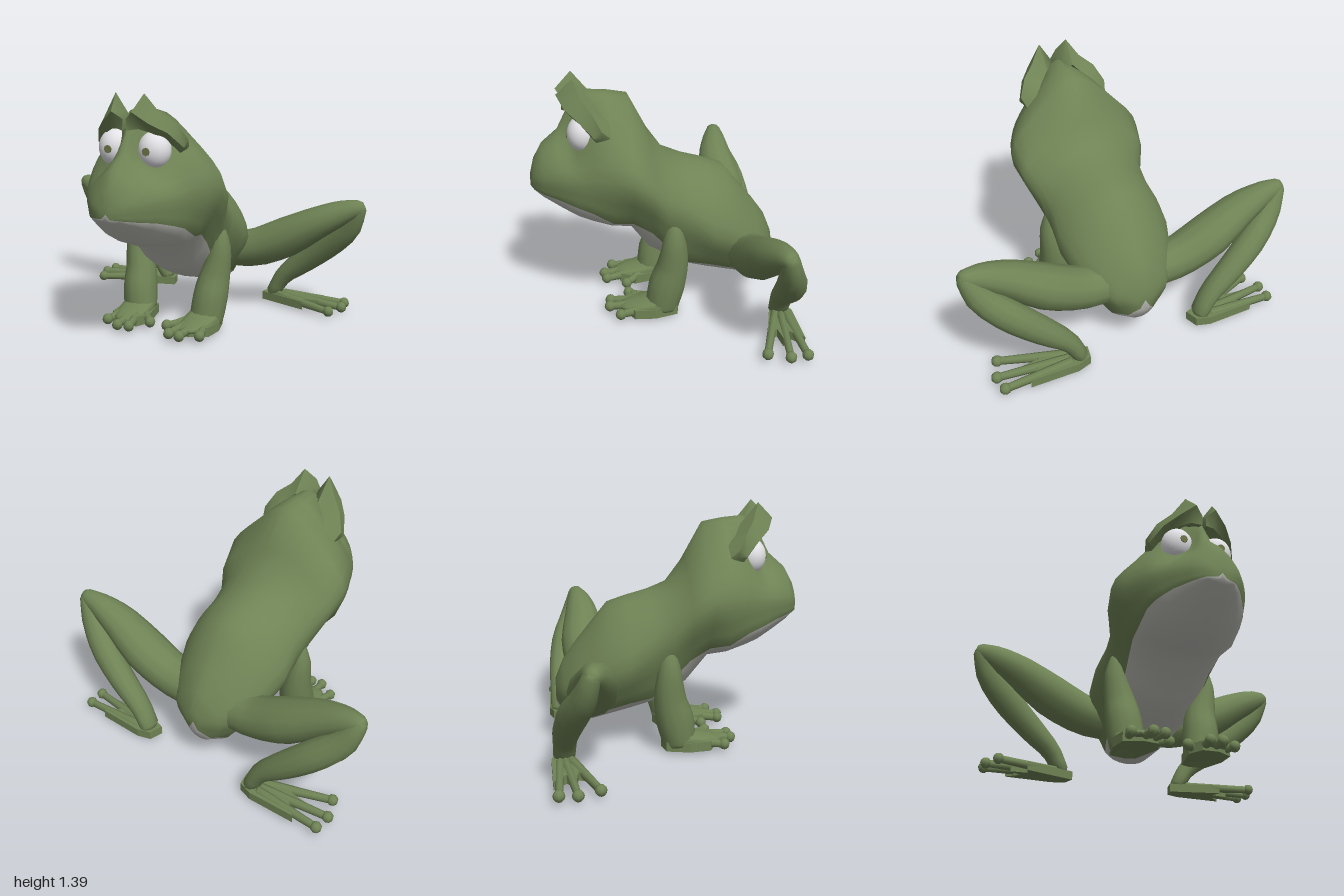
import * as THREE from 'three';
import { toCreasedNormals } from 'three/addons/utils/BufferGeometryUtils.js';

const V = (x, y, z) => new THREE.Vector3(x, y, z);
const paint = (name, color) => {
  const m = new THREE.MeshStandardMaterial({ color });
  m.name = name;
  return m;
};

// Skin closed rings of equal length; points from index `split` on use material 1
function loft(rings, split = Infinity) {
  const n = rings[0].length, last = rings.length - 1;
  const pos = rings.flat().flatMap((p) => [p.x, p.y, p.z]);
  for (const ring of [rings[0], rings[last]]) {
    const c = ring.reduce((s, p) => s.add(p), V(0, 0, 0)).divideScalar(n);
    pos.push(c.x, c.y, c.z);
  }
  const c0 = n * rings.length, c1 = c0 + 1, parts = [[], []];
  for (let j = 0; j < n; j++) {
    const k = (j + 1) % n, out = parts[j >= split ? 1 : 0];
    out.push(c0, k, j, c1, last * n + j, last * n + k);
    for (let i = 0; i < last; i++) {
      const a = i * n + j, b = i * n + k;
      out.push(a, b, a + n, b, b + n, a + n);
    }
  }
  // Turn every face outward, judged by the sign of the enclosed volume
  const at = (i) => V(pos[3 * i], pos[3 * i + 1], pos[3 * i + 2]);
  let volume = 0;
  for (const p of parts) for (let i = 0; i < p.length; i += 3) {
    volume += at(p[i]).dot(at(p[i + 1]).cross(at(p[i + 2])));
  }
  if (volume < 0) parts.forEach((p) => p.reverse());
  const g = new THREE.BufferGeometry();
  g.setAttribute('position', new THREE.Float32BufferAttribute(pos, 3));
  g.setIndex(parts.flat());
  if (split < n) {
    g.addGroup(0, parts[0].length, 0);
    g.addGroup(parts[0].length, parts[1].length, 1);
  }
  g.computeVertexNormals();
  return g;
}

// Tapered limb through [x, y, z, radius across, radius along ref]
function limb(points, ref = V(0, 0, 1), sides = 12, steps = 12) {
  const path = new THREE.CatmullRomCurve3(points.map((p) => V(p[0], p[1], p[2])));
  const radii = new THREE.CatmullRomCurve3(points.map((p) => V(p[3], p[4], 0)));
  const rings = [];
  for (let i = 0; i <= steps; i++) {
    const c = path.getPoint(i / steps), t = path.getTangent(i / steps), r = radii.getPoint(i / steps);
    const u = t.clone().cross(ref).normalize(), v = u.clone().cross(t).normalize();
    const ring = (s) => Array.from({ length: sides }, (_, j) => {
      const a = (j / sides) * Math.PI * 2;
      return c.clone().addScaledVector(u, Math.cos(a) * r.x * s).addScaledVector(v, Math.sin(a) * r.y * s);
    });
    const end = i === 0 ? -1 : i === steps ? 1 : 0;
    const rounded = ring(0.6).map((p) => p.addScaledVector(t, end * r.x * 0.5));
    if (end < 0) rings.push(rounded);
    rings.push(ring(1));
    if (end > 0) rings.push(rounded);
  }
  return loft(rings);
}

// Flat plate from an outline of [x, z], lying from y = 0.005 up to y = top
function plate(outline, top) {
  const shape = new THREE.Shape(outline.map((p) => new THREE.Vector2(...p)));
  const g = new THREE.ExtrudeGeometry(shape, { depth: top - 0.005, bevelEnabled: false });
  return g.rotateX(Math.PI / 2).translate(0, top, 0);
}

function mirrored(g) {
  const m = g.clone().scale(-1, 1, 1);
  const idx = g.index ? Array.from(g.index.array) : Array.from({ length: g.attributes.position.count }, (_, i) => i);
  m.setIndex(idx.reverse());
  return m;
}

// Body sections: z, top y, shoulder x y, widest x y, belly edge x y, bottom y
const head = [
  [0.722, 0.82, 0.015, 0.81, 0.03, 0.79, 0.025, 0.76, 0.75],
  [0.70, 0.91, 0.05, 0.88, 0.095, 0.82, 0.09, 0.755, 0.735],
  [0.65, 1.0, 0.08, 0.95, 0.15, 0.84, 0.14, 0.745, 0.69],
  [0.56, 1.08, 0.08, 1.0, 0.215, 0.86, 0.205, 0.73, 0.63],
  [0.51, 1.18, 0.07, 1.02, 0.245, 0.87, 0.235, 0.715, 0.60],
  [0.46, 1.27, 0.10, 1.05, 0.275, 0.88, 0.26, 0.70, 0.57],
  [0.39, 1.30, 0.17, 1.13, 0.31, 0.89, 0.28, 0.675, 0.545],
  [0.28, 1.29, 0.20, 1.15, 0.365, 0.89, 0.285, 0.61, 0.52],
  [0.17, 1.27, 0.21, 1.13, 0.405, 0.88, 0.27, 0.595, 0.505],
];
const trunk = [
  [0.06, 1.06, 0.22, 0.97, 0.38, 0.80, 0.25, 0.52, 0.34],
  [-0.03, 0.93, 0.20, 0.87, 0.325, 0.70, 0.24, 0.42, 0.29],
  [-0.15, 0.885, 0.20, 0.81, 0.315, 0.62, 0.21, 0.30, 0.235],
  [-0.28, 0.85, 0.20, 0.77, 0.33, 0.52, 0.20, 0.27, 0.195],
  [-0.38, 0.82, 0.18, 0.73, 0.315, 0.48, 0.19, 0.24, 0.17],
  [-0.47, 0.71, 0.16, 0.64, 0.28, 0.42, 0.17, 0.21, 0.145],
  [-0.56, 0.60, 0.13, 0.54, 0.23, 0.38, 0.14, 0.18, 0.125],
  [-0.64, 0.49, 0.08, 0.45, 0.16, 0.34, 0.08, 0.20, 0.16],
  [-0.685, 0.38, 0.03, 0.36, 0.05, 0.31, 0.03, 0.26, 0.24],
];

function bodyRing([z, yt, xs, ys, w, yw, xb, yb, y0]) {
  const yu = y0 + (yb - y0) * 0.3;
  const back = new THREE.CatmullRomCurve3([V(xb, yb, z), V(w, yw, z), V(xs, ys, z), V(0, yt, z),
    V(-xs, ys, z), V(-w, yw, z), V(-xb, yb, z)]);
  const belly = new THREE.CatmullRomCurve3([V(-xb, yb, z), V(-xb * 0.62, yu, z), V(0, y0, z),
    V(xb * 0.62, yu, z), V(xb, yb, z)]);
  return [...back.getPoints(24).slice(0, -1), ...belly.getPoints(8).slice(0, -1)];
}

export function createModel() {
  const frog = new THREE.Group();
  frog.name = 'frog';
  const skin = paint('green skin', 0x6f8355);
  const pale = paint('pale belly', 0xbcbcb6);
  const white = paint('eye white', 0xe2e2e6);
  const iris = paint('olive pupil', 0x6e7648);

  const add = (name, geometry, material) => {
    const mesh = new THREE.Mesh(geometry, material);
    mesh.name = name;
    frog.add(mesh);
  };
  const pair = (name, geometry, material = skin) => {
    add(name + 'Left', geometry, material);
    add(name + 'Right', mirrored(geometry), material);
  };

  // Head and trunk in one skin, with the pale throat and belly
  add('body', toCreasedNormals(loft([...head, ...trunk].map(bodyRing), 24), 1.0), [skin, pale]);

  // Eyes
  pair('eye', new THREE.SphereGeometry(1, 24, 16).scale(0.09, 0.1, 0.085).translate(0.12, 1.085, 0.425), white);
  pair('pupil', new THREE.CylinderGeometry(0.022, 0.022, 0.008, 8).rotateX(Math.PI / 2).translate(0.115, 1.085, 0.509), iris);

  // Worried brows: each station is lower, front, top and back point
  const brow = [
    [V(0.012, 1.19, 0.53), V(0.01, 1.25, 0.53), V(0.02, 1.28, 0.46), V(0.02, 1.22, 0.40)],
    [V(0.07, 1.20, 0.51), V(0.06, 1.29, 0.56), V(0.085, 1.38, 0.47), V(0.08, 1.26, 0.37)],
    [V(0.13, 1.18, 0.48), V(0.14, 1.23, 0.52), V(0.15, 1.285, 0.43), V(0.14, 1.20, 0.33)],
    [V(0.19, 1.14, 0.42), V(0.21, 1.18, 0.45), V(0.22, 1.23, 0.38), V(0.19, 1.15, 0.27)],
    [V(0.235, 1.07, 0.36), V(0.262, 1.10, 0.37), V(0.268, 1.14, 0.33), V(0.24, 1.07, 0.26)],
  ];
  pair('brow', toCreasedNormals(loft(brow), 0.9));

  // Hind legs
  pair('thigh', limb([[0.1, 0.35, -0.5, 0.11, 0.11], [0.3, 0.37, -0.495, 0.118, 0.125], [0.5, 0.455, -0.5, 0.122, 0.135],
    [0.72, 0.58, -0.495, 0.095, 0.11], [0.86, 0.65, -0.51, 0.072, 0.075], [0.955, 0.685, -0.525, 0.045, 0.045]]));
  pair('shin', limb([[0.95, 0.68, -0.525, 0.045, 0.045], [0.88, 0.55, -0.56, 0.075, 0.065], [0.74, 0.42, -0.61, 0.085, 0.08],
    [0.58, 0.285, -0.64, 0.075, 0.075], [0.45, 0.17, -0.65, 0.055, 0.065], [0.385, 0.06, -0.655, 0.045, 0.06]]));
  pair('hindFoot', plate([[0.32, -0.62], [0.34, -0.7], [0.42, -0.725], [0.7, -0.72], [0.63, -0.65], [0.7, -0.6],
    [0.6, -0.59], [0.62, -0.53], [0.42, -0.59]], 0.055));

  // Digits: base and tip, with a knuckle at the tip
  const digit = (name, [x0, z0], [x1, z1]) => {
    pair(name, limb([[x0, 0.045, z0, 0.026, 0.03], [x1, 0.035, z1, 0.02, 0.022]], V(0, 1, 0), 8, 3));
    pair(name + 'Tip', new THREE.SphereGeometry(0.032, 8, 6).translate(x1, 0.036, z1));
  };
  digit('outerToe', [0.45, -0.68], [0.835, -0.695]);
  digit('middleToe', [0.45, -0.65], [0.845, -0.6]);
  digit('innerToe', [0.43, -0.62], [0.8, -0.485]);

  // Front legs
  pair('arm', limb([[0.265, 0.58, -0.06, 0.04, 0.04], [0.275, 0.48, -0.06, 0.062, 0.065], [0.265, 0.38, -0.06, 0.075, 0.082],
    [0.245, 0.28, -0.05, 0.092, 0.095], [0.235, 0.18, -0.025, 0.1, 0.108], [0.225, 0.08, -0.005, 0.1, 0.1],
    [0.22, 0.05, 0, 0.098, 0.098]]));
  pair('hand', plate([[0.14, -0.08], [0.2, -0.1], [0.29, -0.08], [0.325, 0.05], [0.315, 0.17], [0.22, 0.22],
    [0.13, 0.21], [0.09, 0.12]], 0.06));
  // Sloped back of the hand
  pair('wrist', limb([[0.22, 0.07, 0.0, 0.1, 0.06], [0.215, 0.055, 0.1, 0.1, 0.04], [0.205, 0.045, 0.2, 0.075, 0.025]], V(0, 1, 0), 12, 5));
  digit('outerFinger', [0.27, 0.12], [0.3, 0.25]);
  digit('middleFinger', [0.21, 0.15], [0.2, 0.305]);
  digit('innerFinger', [0.16, 0.15], [0.13, 0.295]);
  digit('thumb', [0.15, 0.08], [0.055, 0.18]);

  return frog;
}
